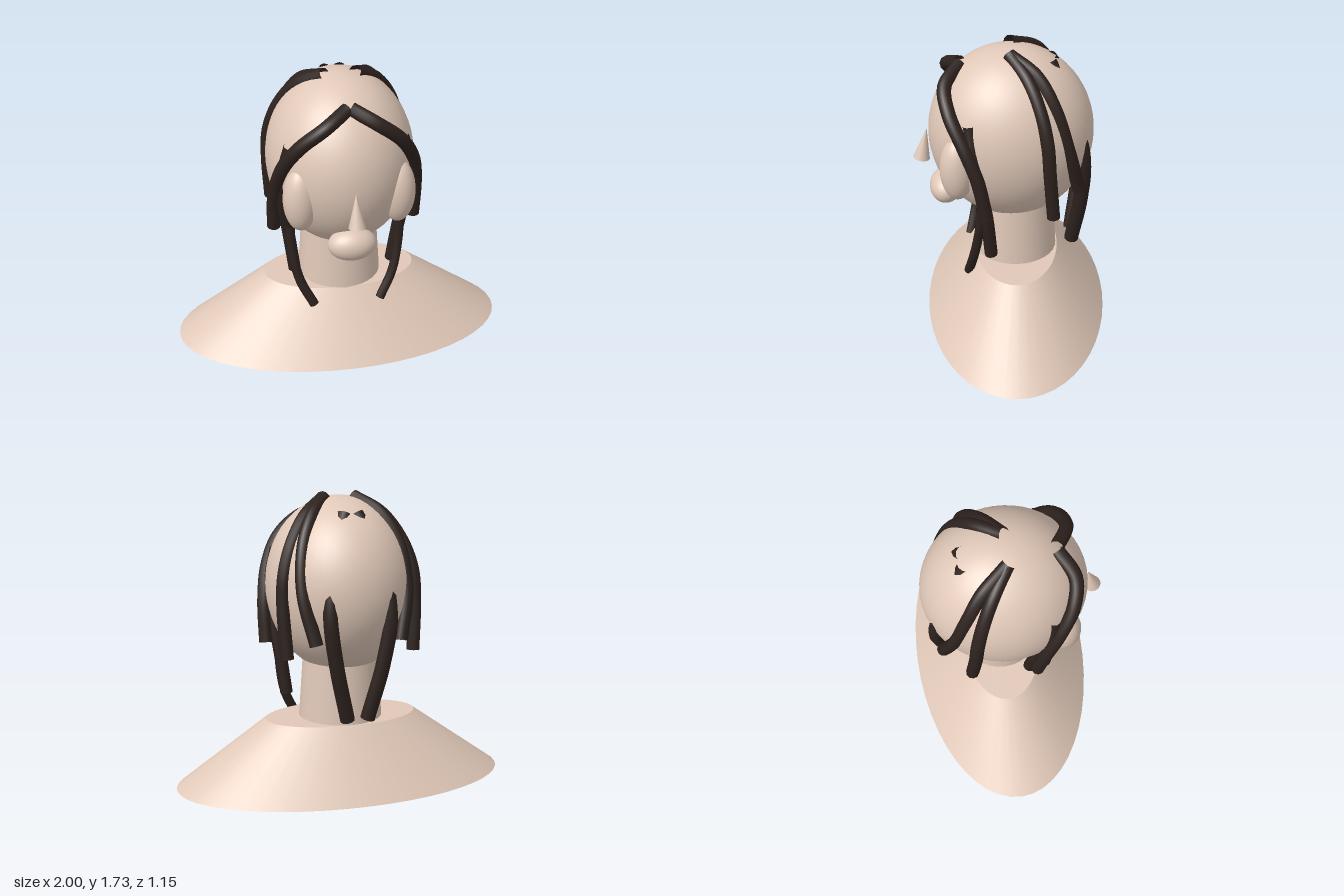
import * as THREE from 'three';

const skin = new THREE.MeshStandardMaterial({ color: 0xe0c8b8 });
const hair = new THREE.MeshStandardMaterial({ color: 0x2d221e, side: THREE.DoubleSide });

export function createModel() {
  const model = new THREE.Group();

  function add(name, geometry, position, scale = [1, 1, 1]) {
    const mesh = new THREE.Mesh(geometry, skin);
    mesh.name = name;
    mesh.position.set(...position);
    mesh.scale.set(...scale);
    model.add(mesh);
    return mesh;
  }

  // Shoulders and neck
  add('shoulders', new THREE.CylinderGeometry(0.46, 1, 0.39, 48), [0, 0.195, -0.03], [1, 1, 0.545]);
  add('neck', new THREE.CylinderGeometry(0.22, 0.25, 0.45, 32), [0, 0.585, -0.025]);

  // Head and face
  const ball = new THREE.SphereGeometry(1, 48, 32);
  add('head', ball, [0, 1.18, 0], [0.43, 0.52, 0.48]);
  add('mouth', ball, [0, 0.8, 0.387], [0.14, 0.097, 0.097]);
  const nose = add('nose', new THREE.ConeGeometry(0.049, 0.2, 24), [0, 1.086, 0.508]);
  nose.rotation.x = -0.18;
  for (const side of [1, -1]) {
    add(side > 0 ? 'leftEye' : 'rightEye', ball, [side * 0.28, 1.075, 0.305], [0.1, 0.195, 0.1]);
  }

  // Hair strands: radius and path, mirrored to both sides
  const strands = {
    FringeStrand: [0.04, [[0.01, 1.6, 0.29], [0.15, 1.53, 0.37], [0.28, 1.42, 0.345],
      [0.37, 1.26, 0.265], [0.41, 1.07, 0.19], [0.415, 0.82, 0.14]]],
    TempleStrand: [0.038, [[0.32, 1.37, 0.23], [0.38, 1.1, 0.2], [0.335, 0.8, 0.145], [0.295, 0.5, 0.118]]],
    FrontLock: [0.028, [[0.325, 0.83, 0.175], [0.32, 0.68, 0.185], [0.28, 0.48, 0.22], [0.2, 0.315, 0.255]]],
    SideStrand: [0.039, [[0.09, 1.69, 0.01], [0.23, 1.6, -0.09], [0.33, 1.45, -0.16],
      [0.385, 1.28, -0.2], [0.395, 1.1, -0.215], [0.38, 0.81, -0.24]]],
    BackStrand: [0.039, [[0.09, 1.69, 0.01], [0.2, 1.61, -0.14], [0.28, 1.45, -0.24],
      [0.305, 1.2, -0.32], [0.25, 0.915, -0.39]]],
    NapeStrand: [0.043, [[0.035, 1.62, -0.215], [0.13, 1.4, -0.33], [0.175, 1.08, -0.415],
      [0.14, 0.8, -0.41], [0.06, 0.455, -0.365]]],
  };
  for (const [name, [radius, path]] of Object.entries(strands)) {
    for (const side of [1, -1]) {
      const curve = new THREE.CatmullRomCurve3(path.map(([x, y, z]) => new THREE.Vector3(side * x, y, z)));
      const strand = new THREE.Mesh(new THREE.TubeGeometry(curve, 40, radius, 10), hair);
      strand.name = (side > 0 ? 'left' : 'right') + name;
      model.add(strand);
    }
  }
  return model;
}
